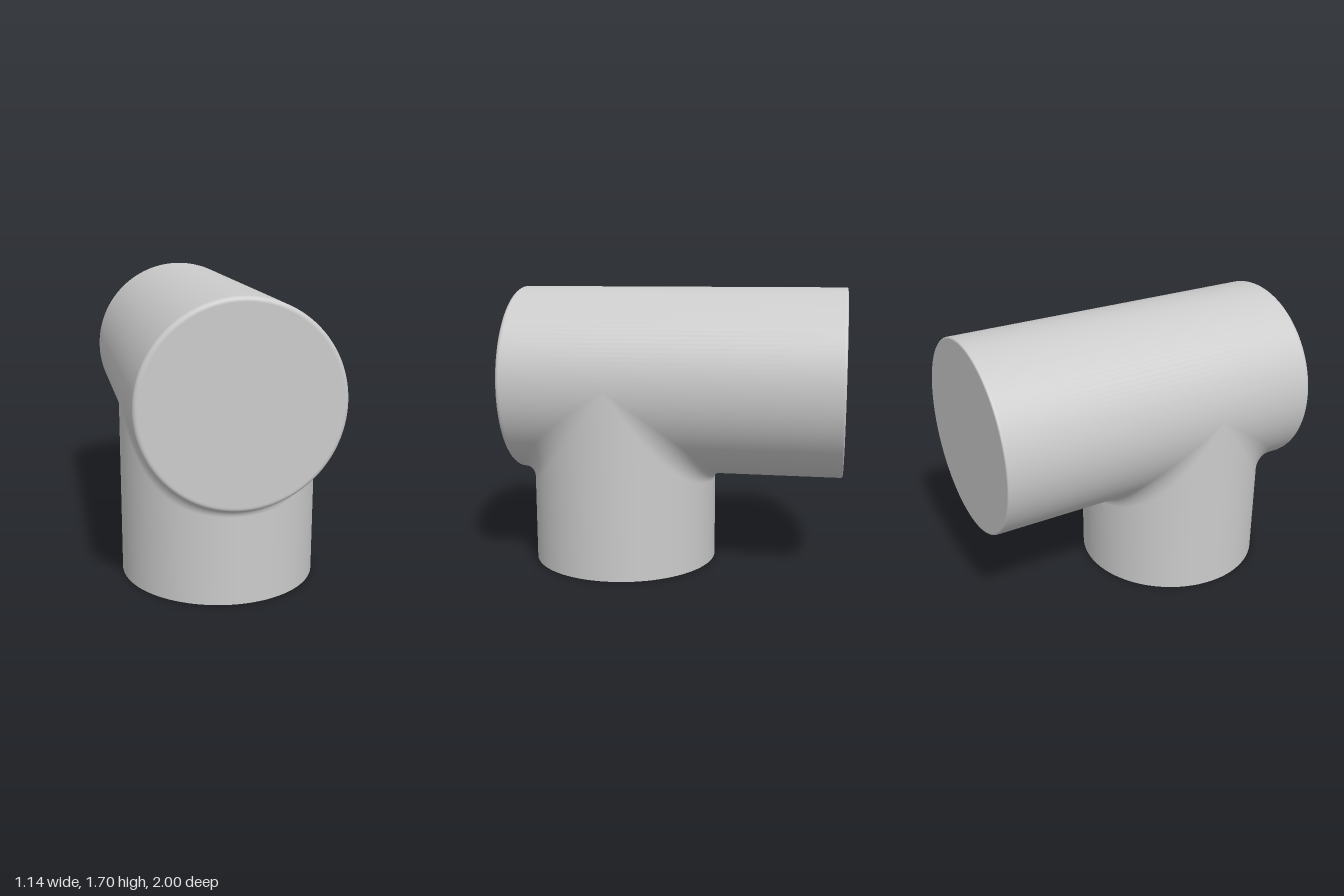
import * as THREE from 'three';

const R = 0.57;        // radius of both cylinders
const AXIS_Y = 1.13;   // height of the horizontal cylinder's axis
const STEM_Z = 0.36;   // position of the vertical cylinder's axis
const SEG = 128;

// Horizontal cylinder with rounded rims, lathed and laid along z
function barrelGeometry() {
  const pts = [new THREE.Vector2(0, -1)];
  const rim = (r, sign, from, to) => {
    for (let i = 0; i <= 6; i++) {
      const t = THREE.MathUtils.lerp(from, to, i / 6);
      pts.push(new THREE.Vector2(R - r + r * Math.cos(t), sign * (1 - r) + r * Math.sin(t)));
    }
  };
  // close support points keep the flat ends and the straight wall crisp
  pts.push(new THREE.Vector2(R - 0.012, -1));
  rim(0.01, -1, -Math.PI / 2, 0);
  pts.push(new THREE.Vector2(R, -0.985), new THREE.Vector2(R, 0.97));
  rim(0.025, 1, 0, Math.PI / 2);
  pts.push(new THREE.Vector2(R - 0.028, 1), new THREE.Vector2(0, 1));
  return new THREE.LatheGeometry(pts, SEG).rotateX(Math.PI / 2);
}

// Vertical wall that flows into the barrel through a rolling-ball fillet
function stemGeometry() {
  const ARC = 10, rows = ARC + 2;
  const pos = [], nor = [], idx = [];
  for (let i = 0; i <= SEG; i++) {
    const a = (i / SEG) * Math.PI * 2, c = Math.cos(a), s = Math.sin(a);
    const r = 0.05 + 0.2 * c * c; // wider blend towards the sides
    const ball = new THREE.Vector3((R + r) * c, AXIS_Y - (R + r) * Math.abs(s), STEM_Z + (R + r) * s);
    const toStem = new THREE.Vector3(-c, 0, -s);
    const toBarrel = new THREE.Vector3(-c, Math.abs(s), 0);
    pos.push(R * c, 0, STEM_Z + R * s);
    nor.push(c, 0, s);
    const angle = toStem.angleTo(toBarrel);
    for (let j = 0; j <= ARC; j++) {
      const t = j / ARC;
      const d = new THREE.Vector3();
      if (angle < 1e-3) d.copy(toStem);
      else d.addScaledVector(toStem, Math.sin((1 - t) * angle)).addScaledVector(toBarrel, Math.sin(t * angle)).normalize();
      pos.push(ball.x + r * d.x, ball.y + r * d.y, ball.z + r * d.z);
      nor.push(-d.x, -d.y, -d.z);
    }
  }
  for (let i = 0; i < SEG; i++) {
    for (let j = 0; j < rows - 1; j++) {
      const p = i * rows + j, q = p + rows;
      idx.push(p, p + 1, q, q, p + 1, q + 1);
    }
  }
  const g = new THREE.BufferGeometry();
  g.setAttribute('position', new THREE.Float32BufferAttribute(pos, 3));
  g.setAttribute('normal', new THREE.Float32BufferAttribute(nor, 3));
  g.setIndex(idx);
  return g;
}

export function createModel() {
  const group = new THREE.Group();
  const material = new THREE.MeshStandardMaterial({ color: 0xcccccc });
  const add = (name, geometry) => {
    const mesh = new THREE.Mesh(geometry, material);
    mesh.name = name;
    group.add(mesh);
    return mesh;
  };

  add('horizontalBarrel', barrelGeometry()).position.y = AXIS_Y;
  add('filletedStem', stemGeometry());
  add('stemBase', new THREE.CircleGeometry(R, SEG).rotateX(Math.PI / 2)).position.z = STEM_Z;

  return group;
}
